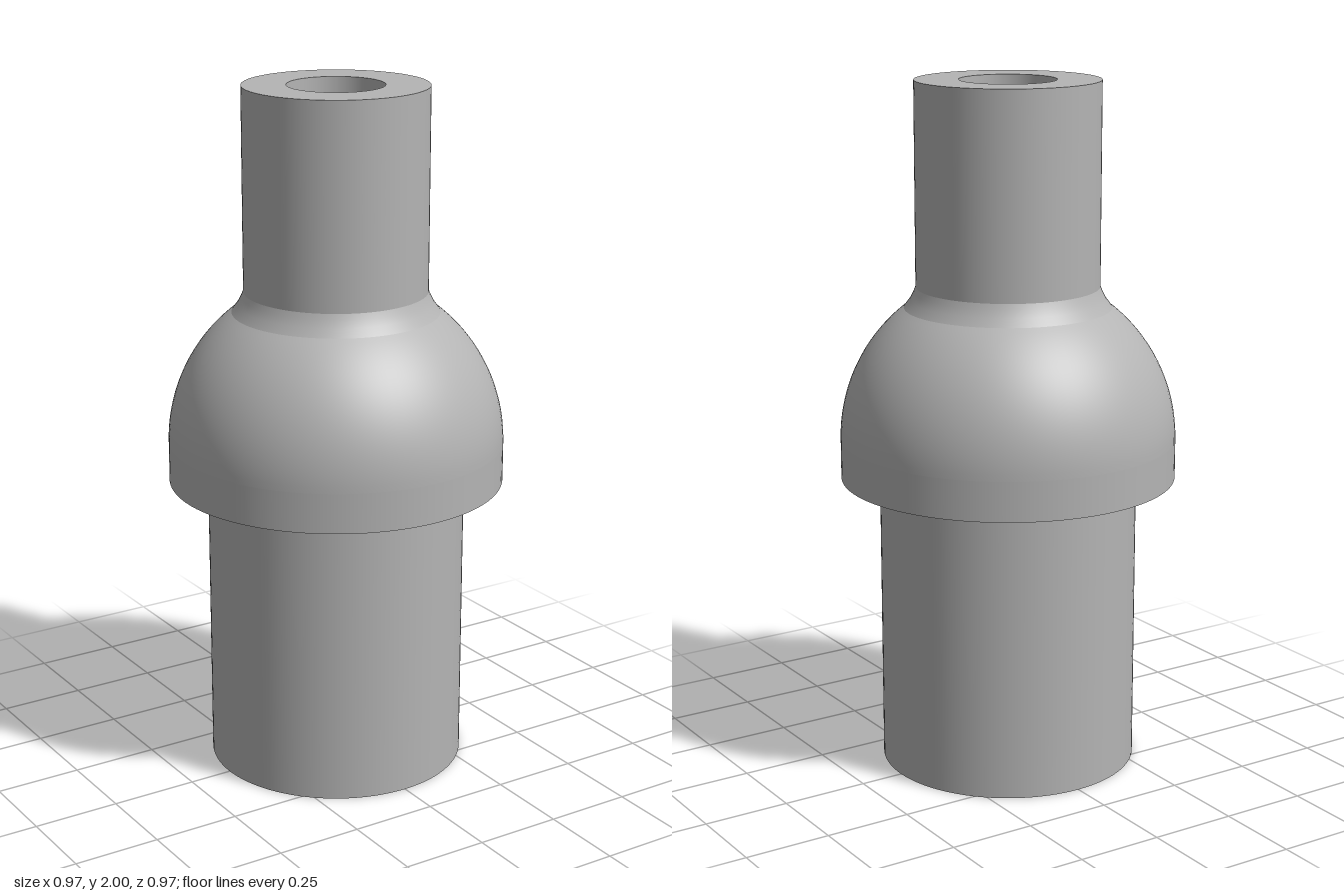
import * as THREE from 'three';

export function createModel() {
  const group = new THREE.Group();
  const grey = new THREE.MeshStandardMaterial({ color: 0xb4b4b4 });
  grey.name = 'plain grey';

  // Each profile runs with the solid on its left, so the faces point outwards
  const turned = (name, ...points) => {
    const profile = points.map(([r, y]) => new THREE.Vector2(r, y));
    const mesh = new THREE.Mesh(new THREE.LatheGeometry(profile, 96), grey);
    mesh.name = name;
    group.add(mesh);
  };

  const lower = 0.373, collar = 0.485, neck = 0.264; // outer radii
  const wideBore = 0.212, narrowBore = 0.138;
  const collarY = 0.857, domeY = 0.972, stepY = 1.0;

  // Dome: arc from the collar up to the neck fillet
  const dome = [];
  const endAngle = Math.acos(0.298 / collar);
  for (let i = 0; i <= 24; i++) {
    const a = (endAngle * i) / 24;
    dome.push([collar * Math.cos(a), domeY + collar * Math.sin(a)]);
  }

  // Outside, bottom to top
  turned('lowerTube', [lower, 0], [lower, collarY]);
  turned('collarUnderside', [lower, collarY], [collar, collarY]);
  turned('collar', [collar, collarY], [collar, domeY]);
  turned('dome', ...dome);
  turned('neckFillet', dome[24], [0.281, 1.378], [0.27, 1.4], [neck, 1.415]);
  turned('upperTube', [neck, 1.415], [neck, 2]);
  turned('topRim', [neck, 2], [narrowBore, 2]);

  // Stepped through-hole, top to bottom
  turned('narrowBore', [narrowBore, 2], [narrowBore, stepY]);
  turned('boreStep', [narrowBore, stepY], [wideBore, stepY]);
  turned('wideBore', [wideBore, stepY], [wideBore, 0]);
  turned('bottomRim', [wideBore, 0], [lower, 0]);

  return group;
}
